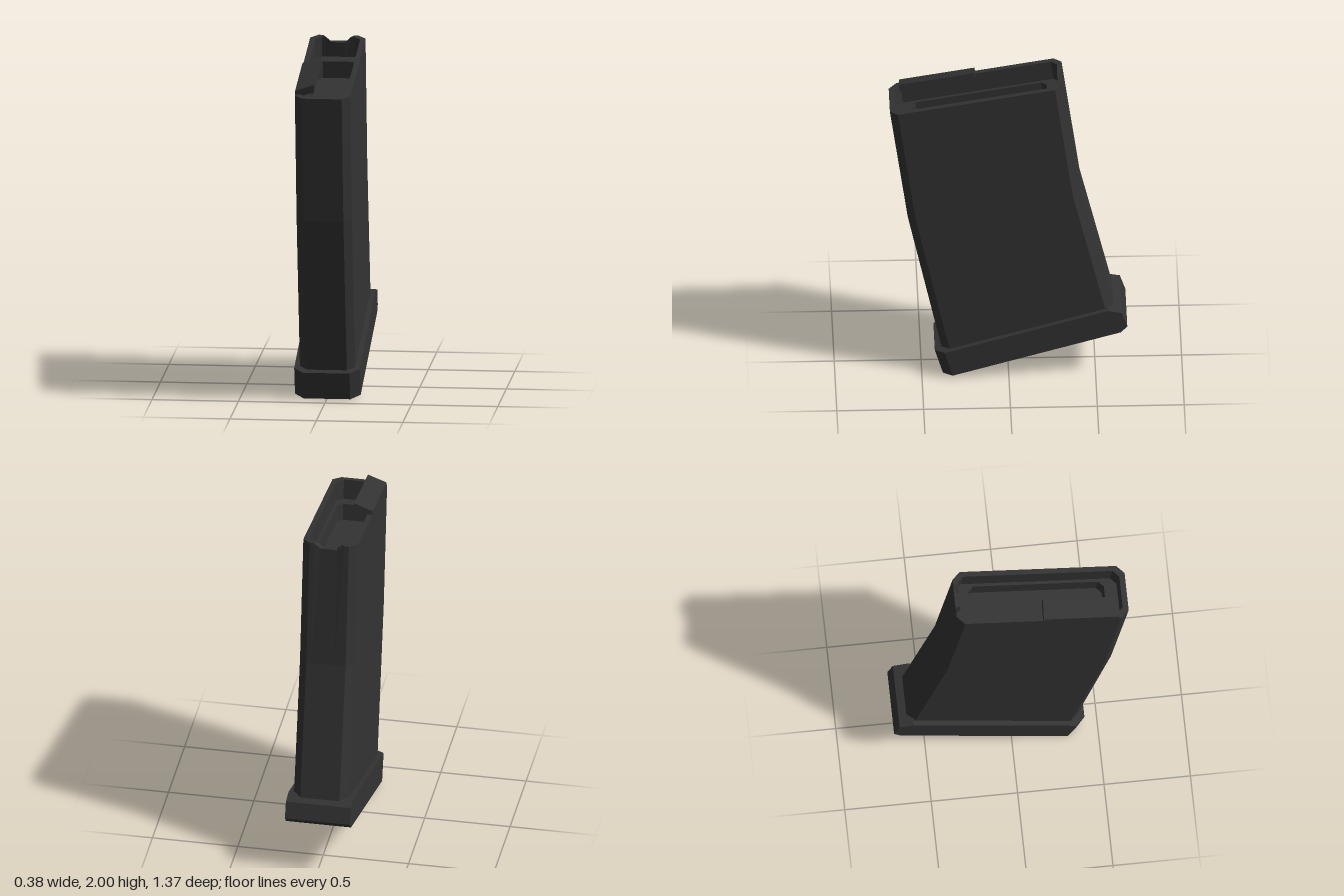
import * as THREE from 'three';

const material = new THREE.MeshStandardMaterial({ color: 0x333333, flatShading: true });

// Skins a list of equal-length rings and closes both ends with a fan.
function loft(name, rings) {
  const pos = [];
  const tri = (a, b, c) => pos.push(...a, ...b, ...c);
  const n = rings[0].length;
  for (let i = 0; i < rings.length - 1; i++) {
    for (let j = 0; j < n; j++) {
      const k = (j + 1) % n;
      const a = rings[i][j], b = rings[i][k], c = rings[i + 1][k], d = rings[i + 1][j];
      tri(a, b, c);
      tri(a, c, d);
    }
  }
  const first = rings[0], last = rings[rings.length - 1];
  for (let j = 1; j < n - 1; j++) {
    tri(first[0], first[j + 1], first[j]);
    tri(last[0], last[j], last[j + 1]);
  }
  const geometry = new THREE.BufferGeometry();
  geometry.setAttribute('position', new THREE.Float32BufferAttribute(pos, 3));
  geometry.computeVertexNormals();
  const mesh = new THREE.Mesh(geometry, material);
  mesh.name = name;
  return mesh;
}

// Chamfered rectangle between a front and a back point [z, y];
// the middle of the back edge can dip to form a notch.
function section(front, back, w, cx, cz, notch = 0) {
  const s = cz / (front[0] - back[0]);
  const outline = [
    [-w + cx, 0], [w - cx, 0], [w, s], [w, 1 - s], [w - cx, 1],
    [w * 0.56, 1], [w * 0.3, 1, notch], [-w * 0.3, 1, notch], [-w * 0.56, 1],
    [-w + cx, 1], [-w, 1 - s], [-w, s],
  ];
  return outline.map(([x, t, dip = 0]) => [
    x,
    THREE.MathUtils.lerp(front[1], back[1], t) - dip,
    THREE.MathUtils.lerp(front[0], back[0], t),
  ]);
}

// Height of the sloping top plane
const topY = (z) => 1.83 + (0.683 - z) * 0.171;

// Ring inside the opening, sunk by a depth along the leaning axis
function innerRing(zf, zb, w, c, depth, notch = 0) {
  const at = (z) => [z - 0.13 * depth, topY(z) - depth];
  return section(at(zf), at(zb), w, c, c, notch);
}

export function createModel() {
  const model = new THREE.Group();

  // Curved hollow body: outside up, over the rim, down to the inner floor
  model.add(loft('body', [
    section([0.37, 0.1], [-0.62, 0.38], 0.16, 0.045, 0.045),
    section([0.58, 1.09], [-0.415, 1.25], 0.16, 0.045, 0.045),
    section([0.683, 1.83], [-0.312, 2.0], 0.16, 0.045, 0.045, 0.032),
    innerRing(0.65, -0.285, 0.13, 0.035, 0, 0.032),
    innerRing(0.65, -0.285, 0.13, 0.035, 0.12),
    innerRing(0.575, -0.21, 0.112, 0.03, 0.12),
    innerRing(0.575, -0.21, 0.112, 0.03, 0.22),
  ]));

  // Base plate: side profile [z, y] swept across x, front corners chamfered
  const profile = [
    [0.425, 0.165], [0.378, 0.005], [-0.645, 0.305],
    [-0.682, 0.345], [-0.65, 0.44], [-0.57, 0.455],
  ];
  const baseRing = (x, inset) => profile.map(([z, y], i) =>
    (i < 2 ? [x, y + inset * 0.293, z - inset] : [x, y, z]));
  model.add(loft('basePlate', [
    baseRing(-0.19, 0.055), baseRing(-0.135, 0),
    baseRing(0.135, 0), baseRing(0.19, 0.055),
  ]));

  // Raised lip overhanging one side of the opening
  const lip = [[-0.16, -0.01], [-0.16, 0.022], [-0.05, 0.06], [-0.05, 0.015], [-0.13, -0.01]];
  const lipRing = (z) => lip.map(([x, h]) => [x, topY(z) + h, z + 0.13 * h]);
  model.add(loft('feedLip', [lipRing(0.62), lipRing(0.185)].map((r) => r.slice())));

  return model;
}
